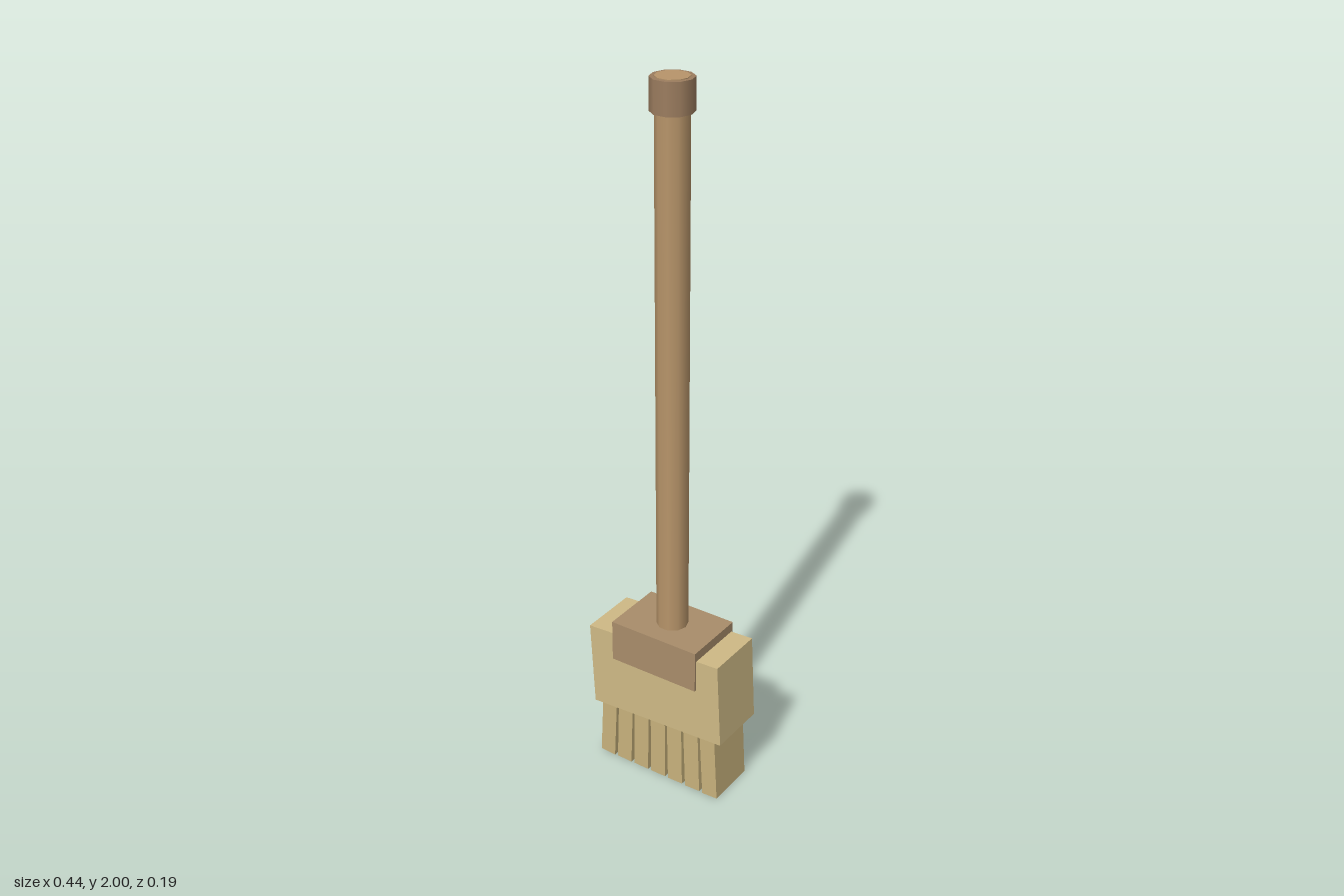
import * as THREE from 'three';

const paint = (color) => new THREE.MeshStandardMaterial({ color });

export function createModel() {
  const broom = new THREE.Group();
  broom.name = 'broom';

  function add(name, geometry, material, x, y, z = 0) {
    const mesh = new THREE.Mesh(geometry, material);
    mesh.name = name;
    mesh.position.set(x, y, z);
    broom.add(mesh);
    return mesh;
  }

  // Ten-sided rod spanning two heights, with corners on the x axis
  function rod(name, radius, bottom, top, color) {
    const geometry = new THREE.CylinderGeometry(radius, radius, top - bottom, 10);
    geometry.rotateY(Math.PI / 2);
    return add(name, geometry, paint(color), 0, (bottom + top) / 2);
  }

  // Handle, its end showing inside the grip cap
  rod('handle', 0.044, 0.4, 2.0, 0xb8956a);
  rod('handleCap', 0.056, 1.915, 1.998, 0x9c7d5f);

  // Collar block joining the handle to the head
  add('collar', new THREE.BoxGeometry(0.274, 0.122, 0.187), paint(0xa98d6b), 0, 0.417);

  // Straw head, slightly tilted
  const head = add('strawHead', new THREE.BoxGeometry(0.424, 0.25, 0.174), paint(0xcfba86), -0.001, 0.318);
  head.rotation.z = 0.052;

  // Seven bristle bundles fanning outward towards the floor
  const bristleMaterial = paint(0xc8b27c);
  const bristleGeometry = new THREE.BoxGeometry(0.048, 0.22, 0.146);
  for (let i = -3; i <= 3; i++) {
    const tilt = i * 0.018;
    const bristle = add('bristleBundle', bristleGeometry, bristleMaterial, i * 0.0565, 0.1115);
    bristle.rotation.z = tilt;
  }

  return broom;
}
